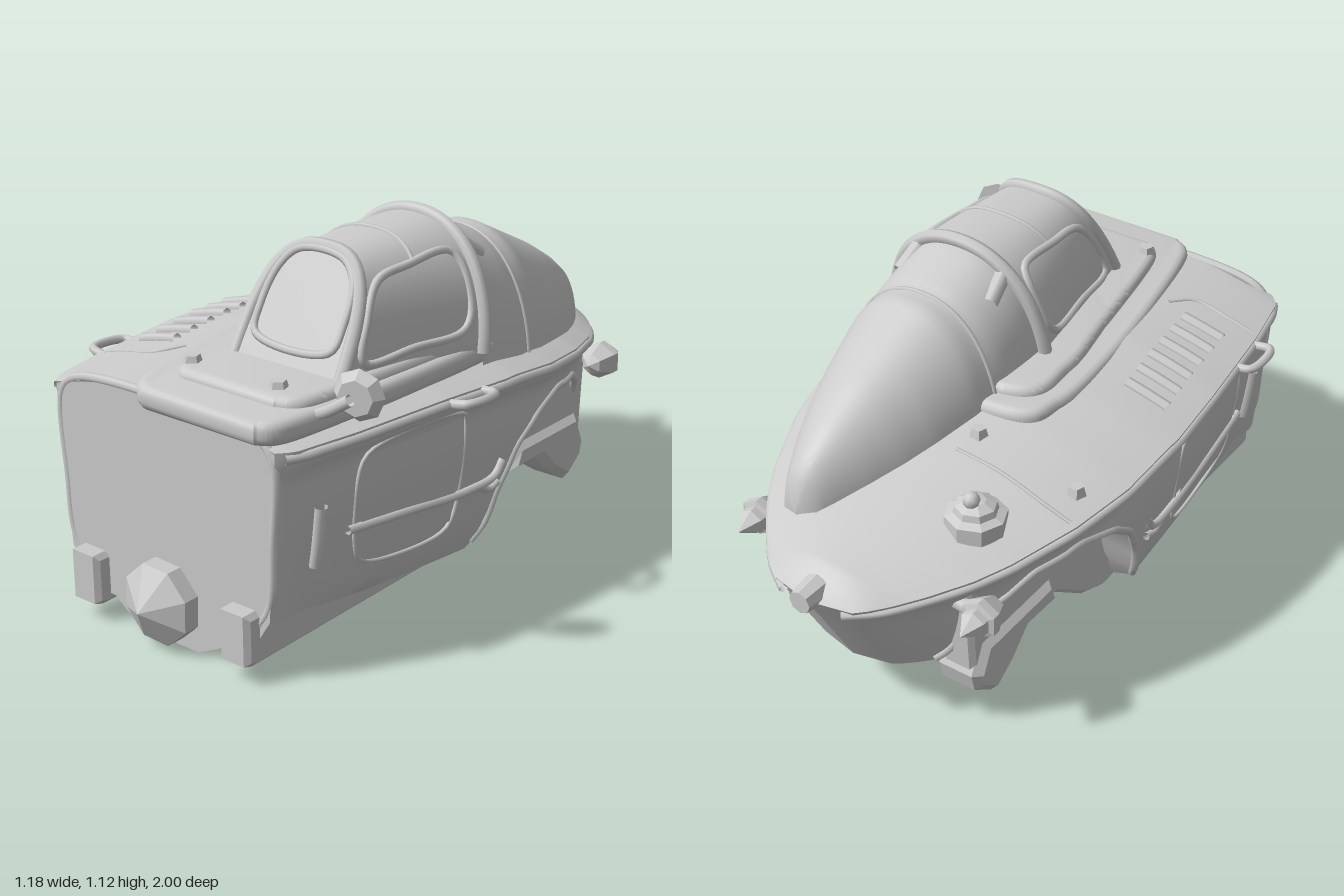
import * as THREE from 'three';
import { toCreasedNormals } from 'three/addons/utils/BufferGeometryUtils.js';

const V = (x, y, z) => new THREE.Vector3(x, y, z);
const CX = -0.02;   // hull centre line
const KX = 0.178;   // cockpit centre line
const smooth = new THREE.MeshStandardMaterial({ color: 0xcccccc, side: THREE.DoubleSide });
const flat = new THREE.MeshStandardMaterial({ color: 0xcccccc, flatShading: true });

// Piecewise curve through [position, value] pairs sorted by falling position
function curve(pts) {
  return (p) => {
    if (p >= pts[0][0]) return pts[0][1];
    for (let i = 1; i < pts.length; i++) {
      const [a, va] = pts[i - 1], [b, vb] = pts[i];
      if (p >= b) return va + (vb - va) * (a - p) / (a - b);
    }
    return pts[pts.length - 1][1];
  };
}
const halfWidth = curve([[0.88, 0.405], [0.84, 0.44], [0.64, 0.48], [0.3, 0.525], [0.05, 0.545], [-0.2, 0.533], [-0.4, 0.49],
  [-0.6, 0.41], [-0.7, 0.355], [-0.8, 0.28], [-0.88, 0.21], [-0.94, 0.145], [-0.965, 0.09], [-0.97, 0]]);
const gunwale = curve([[0.88, 0.685], [0.3, 0.685], [0, 0.67], [-0.4, 0.62], [-0.75, 0.56], [-0.97, 0.52]]);
const crown = curve([[0.88, 0.06], [0.3, 0.09], [-0.2, 0.1], [-0.6, 0.08], [-0.9, 0.06], [-0.97, 0]]);
const skirt = curve([[0.88, 0.19], [0.5, 0.135], [0.05, 0.1], [0.01, 0.16], [-0.03, 0.28], [-0.1, 0.4], [-0.2, 0.47],
  [-0.34, 0.5], [-0.5, 0.48], [-0.64, 0.41], [-0.74, 0.31], [-0.82, 0.22], [-0.97, 0.2]]);
const inset = curve([[0, 0], [-0.04, 0.005], [-0.085, 0.075], [-0.2, 0.08], [-0.32, 0.11], [-0.5, 0.175], [-0.6, 0.27]]);
const insetScale = curve([[0.88, 0.4], [0.76, 1]]);   // the front end is squarer
const deckY = (x, z) => gunwale(z) + crown(z) * (1 - Math.min(1, ((x - CX) / (halfWidth(z) || 1)) ** 2));

// Point on the hull side (side = 1 or -1), at station z and height y
function hullPoint(side, z, y, out = 0) {
  const depth = Math.max(0, gunwale(z) - y);
  const pull = 0.55 * depth * Math.min(1, Math.max(0, (-z - 0.45) / 0.5));
  return V(CX + side * (halfWidth(z) * (1 - inset(-depth) * insetScale(z)) + out), y, z + pull);
}

// Surface from a rule fn(u, v) -> Vector3
function grid(nu, nv, fn) {
  const pos = [], idx = [];
  for (let i = 0; i <= nu; i++) for (let j = 0; j <= nv; j++) pos.push(...fn(i / nu, j / nv).toArray());
  for (let i = 0; i < nu; i++) for (let j = 0; j < nv; j++) {
    const a = i * (nv + 1) + j, b = a + nv + 1;
    idx.push(a, b, a + 1, b, b + 1, a + 1);
  }
  const g = new THREE.BufferGeometry();
  g.setAttribute('position', new THREE.Float32BufferAttribute(pos, 3));
  g.setIndex(idx);
  return toCreasedNormals(g, 0.7);
}
const tube = (pts, r, closed = false, n = 40) =>
  new THREE.TubeGeometry(new THREE.CatmullRomCurve3(pts, closed, 'centripetal'), n, r, 7, closed);
const polygon = (pts) => new THREE.Shape(pts.map(([a, b]) => new THREE.Vector2(a, b)));
// Side profile (z, y) spread across x, with chamfered sides
const sideExtrude = (pts, x, width, c = 0.015) => new THREE.ExtrudeGeometry(polygon(pts),
  { depth: width - 2 * c, bevelThickness: c, bevelSize: c, bevelOffset: -c, bevelSegments: 1 })
  .rotateY(-Math.PI / 2).translate(x + width / 2 - c, 0, 0);

export function createModel() {
  const root = new THREE.Group();
  const add = (name, geo, mat = smooth, pos = [0, 0, 0]) => {
    const m = new THREE.Mesh(geo, mat);
    m.name = name;
    m.position.set(...pos);
    root.add(m);
  };
  const station = (u) => 0.88 - 1.85 * u;

  // Hull sides with wheel arches, turned under at the bottom
  const levels = [0, 0.035, 0.06, 0.085, 0.12];
  for (const s of [1, -1]) {
    add('hullSide', grid(74, 14, (u, v) => {
      const z = station(u), j = Math.round(v * 14), g = gunwale(z), b = skirt(z);
      if (j === 14) {
        const p = hullPoint(s, z, b);
        return V(CX + s * Math.min(Math.abs(p.x - CX), 0.3), z > 0.03 ? b - 0.04 : b + 0.02, Math.max(p.z, -0.6));
      }
      const y = j < 5 ? g - levels[j] : g - 0.12 - (g - 0.12 - b) * (j - 4) / 9;
      return hullPoint(s, z, y);
    }));
    const rim = [];
    for (let i = 0; i <= 26; i++) {
      const z = 0.04 - 0.87 * i / 26;
      rim.push(hullPoint(s, z, skirt(z) + 0.01, -0.004));
    }
    add('archLip', tube(rim, 0.013, false, 60));
    const rail = [];
    for (let i = 0; i <= 30; i++) rail.push(hullPoint(s, 0.86 - 1.82 * i / 30, gunwale(0.86 - 1.82 * i / 30) - 0.02));
    add('gunwaleRail', tube(rail, 0.014, false, 60));

    // Door, its bar, vent and grab handle
    const door = [];
    for (const [z, y] of [[0.55, 0.605], [0.2, 0.605], [0.18, 0.57], [0.19, 0.27], [0.23, 0.23], [0.53, 0.25], [0.58, 0.29], [0.59, 0.57]])
      door.push(hullPoint(s, z, y, 0.006));
    add('doorEdge', tube(door, 0.006, true, 60));
    add('doorPanel', grid(8, 8, (u, v) => hullPoint(s, 0.58 - 0.38 * u, 0.59 - 0.33 * v, 0.008)));
    add('doorBar', tube([[0.63, 0.385], [0.4, 0.365], [0.15, 0.34], [0.02, 0.35], [-0.01, 0.39]].map(([z, y]) => hullPoint(s, z, y, 0.008)), 0.013));
    add('doorBarFork', tube([[0.1, 0.34], [0.04, 0.31], [0, 0.32]].map(([z, y]) => hullPoint(s, z, y, 0.008)), 0.012, false, 12));
    add('sideVent', tube([0.31, 0.37, 0.43, 0.49].map((y) => hullPoint(s, 0.73, y, 0.005)), 0.02, false, 12));
    const hz = s > 0 ? 0.22 : 0.55, hx = CX + s * (halfWidth(hz) - 0.01);
    add('grabHandle', tube([V(hx, 0.665, hz - 0.07), V(hx + s * 0.06, 0.67, hz - 0.06), V(hx + s * 0.06, 0.675, hz + 0.06),
      V(hx, 0.665, hz + 0.07)], 0.014, false, 20));

    // Stern lamps
    const lamp = new THREE.LatheGeometry([[0, -0.08], [0.035, -0.06], [0.06, -0.01], [0.06, 0.015], [0.042, 0.02], [0.042, 0.04], [0, 0.1]]
      .map(([a, b]) => new THREE.Vector2(a, b)), 6).rotateX(-Math.PI / 2);
    add('sternLamp', lamp, flat, [CX + s * 0.39, 0.47, -0.71]);
    add('lampArm', tube([V(CX + s * 0.28, 0.47, -0.69), V(CX + s * 0.38, 0.47, -0.7)], 0.025, false, 3));

    // Under rails with the inner arch walls, and rear pods
    add('underRail', sideExtrude([[0.93, 0.21], [0.93, 0.06], [0.9, 0.05], [0, 0.05], [-0.1, 0.09], [-0.26, 0.21], [-0.68, 0.22],
      [-0.7, 0.53], [-0.02, 0.53], [0.02, 0.21]], CX + s * 0.285, 0.11), flat);
    add('rearPod', sideExtrude([[-0.3, 0.3], [-0.27, 0.21], [-0.43, 0.21], [-0.5, 0.14], [-0.59, 0.08], [-0.67, 0.14], [-0.685, 0.2],
      [-0.64, 0.3]], CX + s * 0.28, 0.16, 0.025), flat);
  }

  // Deck and flat front bulkhead
  add('deck', grid(74, 20, (u, v) => {
    const z = station(u), x = CX + (v * 2 - 1) * halfWidth(z);
    return V(x, deckY(x, z), z);
  }));
  const half = [0.68, 0.64, 0.6, 0.4, 0.26, 0.19].map((y) => [hullPoint(1, 0.88, y).x, y]);
  const top = [-0.4, -0.25, -0.1, 0.05, 0.2, 0.36].map((x) => [x, deckY(x, 0.88)]);
  add('frontBulkhead', new THREE.ShapeGeometry(polygon([...top, ...half, [0.3, 0.1], [0.24, 0.08], [-0.28, 0.08], [-0.34, 0.1],
    ...half.map(([x, y]) => [2 * CX - x, y]).reverse()])).translate(0, 0, 0.88));
  add('frontRim', tube([[-0.34, 0.15], [-0.39, 0.23], [-0.405, 0.4], [-0.41, 0.66], [-0.36, 0.71], [0, 0.735], [0.32, 0.71], [0.37, 0.66],
    [0.365, 0.4], [0.35, 0.23], [0.3, 0.15]].map(([x, y]) => V(x, y, 0.87)), 0.014, false, 80));

  // Belly, skid plate, drive shaft
  add('belly', sideExtrude([[0.02, 0.05], [-0.1, 0.09], [-0.26, 0.21], [-0.62, 0.22], [-0.6, 0.42], [0.02, 0.42]], CX, 0.5, 0.005), flat);
  const skid = polygon([[-0.28, 0.1], [-0.2, 0.04], [-0.12, 0], [0.08, 0], [0.16, 0.04], [0.24, 0.1], [0.2, 0.25], [-0.24, 0.25]]);
  add('skidPlate', new THREE.ExtrudeGeometry(skid, { depth: 0.06, bevelEnabled: false }), flat, [0, 0, 0.81]);
  add('nozzle', new THREE.LatheGeometry([[0, 0], [0.122, 0], [0.122, 0.06], [0, 0.13]].map(([a, b]) => new THREE.Vector2(a, b)), 8)
    .rotateX(Math.PI / 2).rotateZ(Math.PI / 8 * 0.9), flat, [CX, 0.14, 0.87]);
  add('shaftCone', new THREE.CylinderGeometry(0.04, 0.12, 0.16, 8).rotateX(-Math.PI / 2), flat, [CX, 0.14, 0.74]);
  add('driveShaft', new THREE.CylinderGeometry(0.025, 0.025, 0.5, 8).rotateX(Math.PI / 2), smooth, [CX, 0.12, 0.43]);
  add('shaftHub', new THREE.CylinderGeometry(0.03, 0.05, 0.1, 6), flat, [CX, 0.09, 0.2]);
  add('crossBar', new THREE.BoxGeometry(0.5, 0.03, 0.04), flat, [CX, 0.14, 0.2]);

  // Cockpit base, two soft tiers
  const tier = (pts, y, h) => {
    const s = polygon([pts[0]]);
    s.splineThru(pts.slice(1).map(([a, b]) => new THREE.Vector2(a, b)));
    return toCreasedNormals(new THREE.ExtrudeGeometry(s, { depth: h, bevelThickness: 0.025, bevelSize: 0.025, bevelSegments: 3, curveSegments: 36 })
      .rotateX(Math.PI / 2).translate(0, y, 0), 0.6);
  };
  add('cockpitBase', tier([[-0.05, 0.885], [-0.11, 0.82], [-0.18, 0.5], [-0.23, 0.15], [-0.23, -0.08], [-0.14, -0.2],
    [0.35, -0.2], [0.41, -0.1], [0.425, 0.15], [0.41, 0.5], [0.38, 0.82], [0.33, 0.885]], 0.742, 0.02));
  add('cockpitSill', tier([[0.02, 0.77], [-0.05, 0.72], [-0.13, 0.3], [-0.17, 0.05], [-0.12, -0.13], [0.34, -0.13], [0.4, 0.1],
    [0.38, 0.5], [0.36, 0.72], [0.3, 0.77]], 0.768, 0.03));

  // Canopy, an arch swept from the slanted windscreen to the roll bar
  const arch = (th, w, yb, yt, n) => {
    const c = Math.cos(th), s = Math.max(0, Math.sin(th));
    return [KX + w * Math.sign(c) * Math.abs(c) ** (2 / n), yb + (yt - yb) * s ** (2 / n)];
  };
  const canopy = (s, th) => {
    const yt = 1.085 + 0.012 * Math.sin(s * 1.57);
    const [x, y] = arch(th, 0.185 + 0.09 * s, 0.74, yt, 3 - 0.85 * s);
    return V(x, y, 0.63 - 0.56 * s - (0.2 - 0.15 * s) * (y - 0.74) / (yt - 0.74));
  };
  add('canopy', grid(10, 32, (u, v) => canopy(u, v * Math.PI)));
  add('windscreen', grid(4, 32, (u, v) => canopy(0, v * Math.PI).lerp(V(KX, 0.74, 0.63), u)));
  const archLine = (s) => Array.from({ length: 25 }, (_, i) => canopy(s, Math.PI * i / 24));
  add('windscreenPillar', tube(archLine(0.02), 0.02));
  add('rollBar', tube(archLine(1), 0.022));
  add('roofBead', tube(archLine(0.5).slice(7, 18), 0.007));
  add('windscreenFrame', tube([[0.045, 0.85], [0.03, 0.92], [0.05, 1.02], [0.1, 1.07], [0.255, 1.07], [0.31, 1.02], [0.325, 0.92], [0.31, 0.85]]
    .map(([x, y]) => V(x, y, 0.632 - 0.2 * (y - 0.74) / 0.345)), 0.012, true, 60));
  for (const m of [1, -1]) {
    const loop = [[0.14, 0.12], [0.5, 0.14], [0.84, 0.18], [0.9, 0.3], [0.9, 0.75], [0.84, 0.9], [0.45, 0.87], [0.16, 0.77], [0.1, 0.4]]
      .map(([s, th]) => canopy(s, m > 0 ? th : Math.PI - th));
    add('sideWindowFrame', tube(loop, 0.013, true, 60));
    add('rollBarClip', tube([V(KX + m * 0.15, 1.03, 0.02), V(KX + m * 0.16, 0.98, -0.06)], 0.025, false, 6));
  }

  // Tapering fairing behind the cockpit
  const fairW = curve([[0.06, 0.275], [-0.12, 0.28], [-0.25, 0.265], [-0.4, 0.23], [-0.5, 0.195], [-0.6, 0.15], [-0.7, 0.095], [-0.75, 0.06], [-0.77, 0]]);
  const fairTop = curve([[0.06, 1.09], [0, 1.08], [-0.14, 1.03], [-0.17, 1.015], [-0.23, 1.015], [-0.5, 0.885], [-0.63, 0.81], [-0.72, 0.745],
    [-0.755, 0.69], [-0.77, 0.6]]);
  const fairRound = curve([[0.06, 2.4], [-0.5, 2]]);
  const fairLine = (z, t) => V(...arch(t * Math.PI, fairW(z), 0.58, fairTop(z), fairRound(z)), z);
  add('fairing', grid(40, 32, (u, v) => fairLine(0.06 - 0.83 * u, v)));
  add('fairingBead', tube(Array.from({ length: 21 }, (_, i) => fairLine(-0.17, i / 20)), 0.007));

  // Deck fittings: bolts, louvres, seams, filler cap, tail light
  for (const [x, z] of [[-0.45, -0.31], [-0.12, -0.31], [-0.04, 0.73], [0.27, 0.73]])
    add('bolt', new THREE.CylinderGeometry(0.022, 0.03, 0.03, 5), flat, [x, z > 0 ? 0.797 : deckY(x, z) + 0.008, z]);
  for (let i = 0; i < 6; i++) {
    const z = 0.13 + i * 0.08, x = -0.41 + i * 0.009;
    add('louvre', tube([-0.07, 0, 0.07].map((d) => V(x + d, deckY(x + d, z) + 0.001, z)), 0.018, false, 6));
  }
  const seam = (pts) => add('deckSeam', tube(pts.map(([x, z]) => V(x, deckY(x, z), z)), 0.006));
  seam([[-0.49, -0.4], [-0.4, -0.4], [-0.25, -0.39], [-0.1, -0.39]]);
  seam([[-0.48, 0.64], [-0.4, 0.64], [-0.28, 0.64], [-0.22, 0.57]]);
  const cap = [[0.09, -0.03], [0.09, 0.02], [0.065, 0.03], [0.06, 0.05], [0.03, 0.065], [0, 0.07]].map(([a, b]) => new THREE.Vector2(a, b));
  add('fillerCap', new THREE.LatheGeometry(cap, 8), flat, [-0.28, deckY(-0.28, -0.55), -0.55]);
  add('fillerKnob', new THREE.SphereGeometry(0.025, 8, 6), smooth, [-0.28, deckY(-0.28, -0.55) + 0.075, -0.57]);
  add('tailLight', new THREE.CylinderGeometry(0.035, 0.045, 0.08, 8).rotateX(-Math.PI / 2), flat, [CX, 0.535, -0.96]);

  // Wing mirror
  add('mirrorStalk', tube([V(0.38, 0.74, 0.72), V(0.44, 0.77, 0.74), V(0.51, 0.815, 0.73)], 0.017, false, 12));
  add('mirrorDisc', new THREE.CylinderGeometry(0.05, 0.073, 0.03, 8).rotateX(Math.PI / 2).rotateY(0.25), flat, [0.51, 0.815, 0.7]);
  return root;
}
